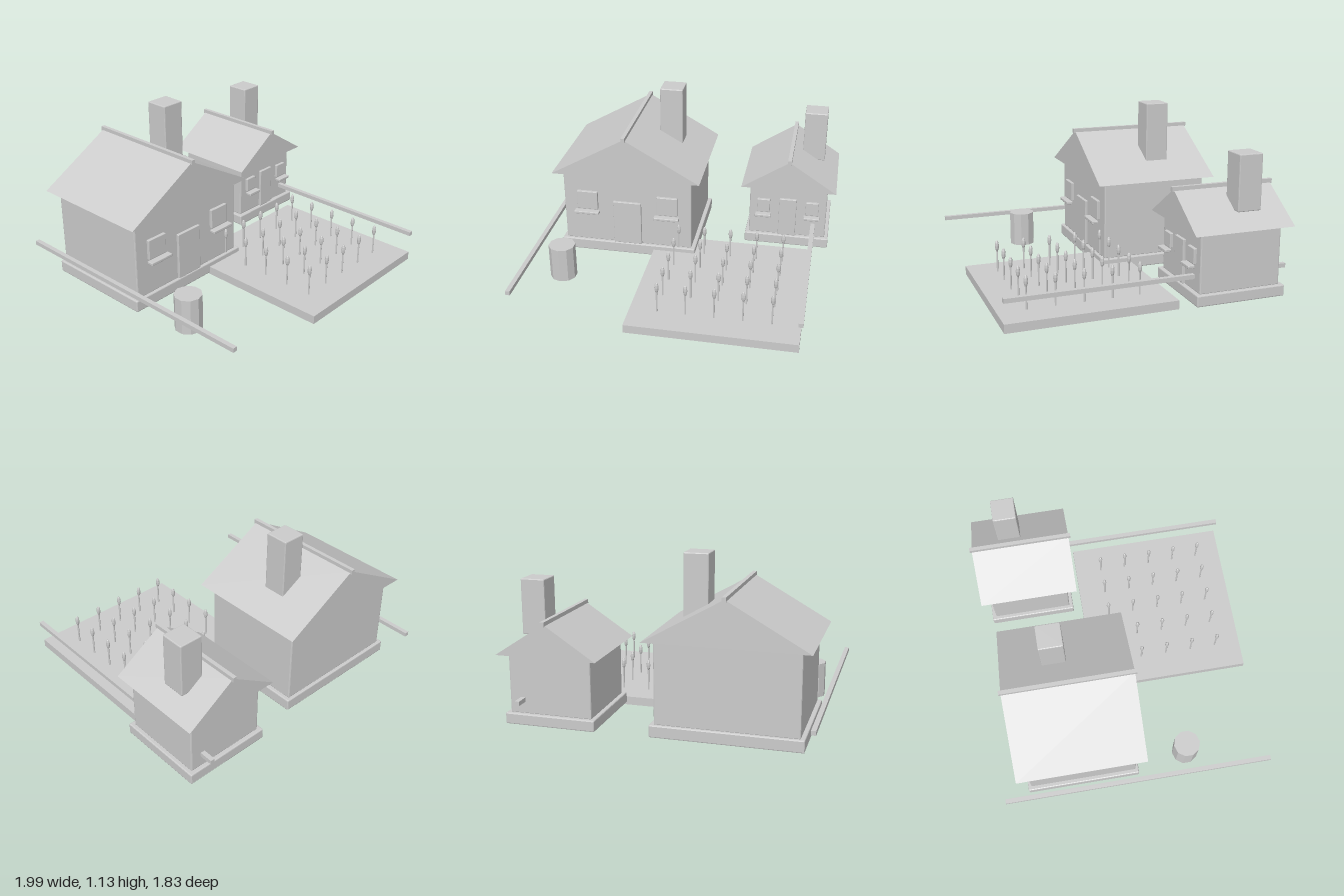
import * as THREE from 'three';
import { RoundedBoxGeometry } from 'three/addons/geometries/RoundedBoxGeometry.js';

const material = new THREE.MeshStandardMaterial({ color: 0xcccccc, flatShading: true });

function add(parent, name, geometry, x = 0, y = 0, z = 0) {
  const mesh = new THREE.Mesh(geometry, material);
  mesh.name = name;
  mesh.position.set(x, y, z);
  parent.add(mesh);
  return mesh;
}

// Box given by its limits on each axis; bevel > 0 softens its edges
function box(parent, name, [x0, x1], [y0, y1], [z0, z1], bevel = 0) {
  const size = [x1 - x0, y1 - y0, z1 - z0];
  const geometry = bevel
    ? new RoundedBoxGeometry(...size, 1, bevel)
    : new THREE.BoxGeometry(...size);
  return add(parent, name, geometry, (x0 + x1) / 2, (y0 + y1) / 2, (z0 + z1) / 2);
}

function house(name, p) {
  const g = new THREE.Group();
  g.name = name;
  const span = (c, half) => [c - half, c + half];

  box(g, 'foundation', span(p.x, p.baseW), p.baseY, span(p.z, p.baseD), 0.007);
  box(g, 'walls', span(p.x, p.wallW), [p.baseY[1] - 0.005, p.eave], span(p.z, p.wallD), 0.008);

  // Gabled roof as a solid prism
  const gable = new THREE.Shape();
  gable.moveTo(-p.roofW, p.eave);
  gable.lineTo(p.roofW, p.eave);
  gable.lineTo(0, p.peak);
  gable.closePath();
  const prism = new THREE.ExtrudeGeometry(gable, { depth: 2 * p.roofD, bevelEnabled: false });
  add(g, 'roof', prism, p.x, 0, p.z - p.roofD);
  box(g, 'ridgeBeam', span(p.x, 0.013), [p.peak - 0.013, p.peak + 0.017], span(p.z, p.roofD + 0.013));
  box(g, 'chimney', p.chimneyX, p.chimneyY, p.chimneyZ, 0.006);

  // Door and windows on the front wall
  const front = p.z + p.wallD;
  box(g, 'door', span(p.x, p.doorW), [p.baseY[1], p.doorTop], [front - 0.01, front + 0.018], 0.004);
  for (const side of [-1, 1]) {
    const x = p.x + side * p.windowX;
    box(g, 'window', span(x, p.windowW), p.windowY, [front - 0.008, front + 0.02], 0.004);
    box(g, 'windowSill', span(x, p.sillW), [p.windowY[0] - 0.022, p.windowY[0] - 0.002],
      [front + 0.015, front + 0.06], 0.004);
  }
  return g;
}

export function createModel() {
  const model = new THREE.Group();
  model.name = 'farmstead';

  model.add(house('largeHouse', {
    x: -0.436, z: -0.372, baseW: 0.481, baseD: 0.388, baseY: [0.01, 0.09],
    wallW: 0.454, wallD: 0.367, eave: 0.62, roofW: 0.517, roofD: 0.425, peak: 0.912,
    chimneyX: [-0.27, -0.11], chimneyY: [0.65, 1.13], chimneyZ: [-0.522, -0.363],
    doorW: 0.099, doorTop: 0.415, windowX: 0.284, windowW: 0.073, windowY: [0.34, 0.478], sillW: 0.088,
  }));
  model.add(house('smallHouse', {
    x: 0.663, z: -0.552, baseW: 0.297, baseD: 0.3, baseY: [0.042, 0.115],
    wallW: 0.271, wallD: 0.273, eave: 0.498, roofW: 0.329, roofD: 0.335, peak: 0.713,
    chimneyX: [0.733, 0.891], chimneyY: [0.592, 0.95], chimneyZ: [-0.702, -0.545],
    doorW: 0.061, doorTop: 0.403, windowX: 0.171, windowW: 0.045, windowY: [0.29, 0.39], sillW: 0.056,
  }));

  // Planted field with a five by five crop
  const field = new THREE.Group();
  field.name = 'field';
  model.add(field);
  box(field, 'soil', [-0.25, 0.845], [0, 0.057], [-0.187, 0.912]);
  const stem = new THREE.CylinderGeometry(0.006, 0.006, 0.155, 6);
  const head = new THREE.SphereGeometry(0.014, 8, 6).scale(1, 2.7, 1);
  for (let i = 0; i < 5; i++) {
    for (let j = 0; j < 5; j++) {
      const x = -0.07 + i * 0.183, z = j * 0.1825;
      add(field, 'cropStem', stem, x, 0.132, z);
      add(field, 'cropHead', head, x, 0.236, z);
    }
  }

  // Long fence rails
  for (const x of [-0.985, 0.846]) {
    box(model, 'fenceRail', [x - 0.015, x + 0.015], [0.19, 0.218], [-0.915, 0.915]);
  }

  // Ten-sided barrel
  add(model, 'barrel', new THREE.CylinderGeometry(0.09, 0.09, 0.24, 10), -0.804, 0.13, 0.364);

  return model;
}
